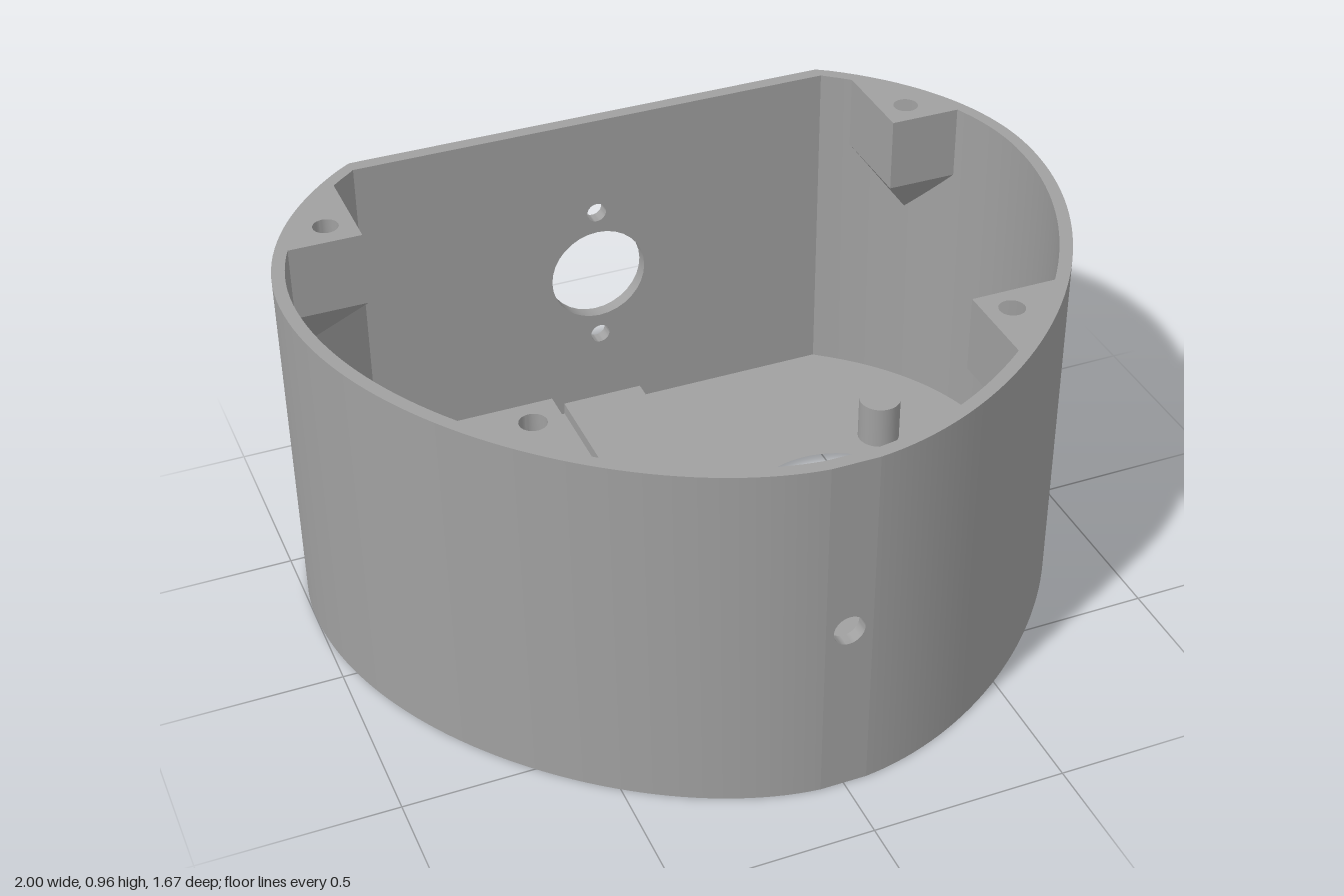
import * as THREE from 'three';
import { toCreasedNormals } from 'three/addons/utils/BufferGeometryUtils.js';
import { ConvexGeometry } from 'three/addons/geometries/ConvexGeometry.js';

const H = 0.957, WALL = 0.033, BACK = -0.84, BACK_IN = -0.803;
const V = (x, y) => new THREE.Vector2(x, y);

// Right half of the outer outline in (x, z), from the flat back to near the front middle
function outerHalf() {
  const pts = [V(0.66, BACK)];
  const a0 = Math.asin(0.749);
  for (let i = 1; i <= 20; i++) {
    const a = a0 * (1 - i / 20);
    pts.push(V(Math.cos(a), -0.25 - 0.788 * Math.sin(a)));
  }
  const front = new THREE.CubicBezierCurve(V(1, -0.25), V(1, 0.3), V(0.45, 0.83), V(0, 0.83));
  for (let i = 1; i <= 48; i++) {
    const p = front.getPoint(i / 48);
    if (p.x > 0.065) pts.push(p);
  }
  pts.push(V(0.06, 0.827));
  return pts;
}

// Inner outline, one wall thickness inside
function innerHalf(outer) {
  const pts = outer.map((p, i) => {
    const a = outer[Math.max(i - 1, 0)], b = outer[Math.min(i + 1, outer.length - 1)];
    const t = b.clone().sub(a).normalize();
    return V(p.x - t.y * WALL, p.y + t.x * WALL);
  }).filter(p => p.y > BACK_IN && p.x > 0.062);
  return [V(0.66, BACK_IN), ...pts, V(0.06, 0.827 - WALL)];
}

const flip = (pts, s) => pts.map(p => V(p.x * s, p.y));

function circle(x, z, r, n = 48) {
  return Array.from({ length: n }, (_, i) => {
    const a = i / n * Math.PI * 2;
    return V(x + r * Math.cos(a), z + r * Math.sin(a));
  });
}

// Extrude an (x, z) plan upward from y0 to y1
function slab(plan, holes, y0, y1) {
  const toShape = pts => pts.map(p => V(p.x, -p.y));
  const shape = new THREE.Shape(toShape(plan));
  holes.forEach(h => shape.holes.push(new THREE.Path(toShape(h))));
  const g = new THREE.ExtrudeGeometry(shape, { depth: y1 - y0, bevelEnabled: false });
  g.rotateX(-Math.PI / 2).translate(0, y0, 0);
  return toCreasedNormals(g, 0.4);
}

// Upright panel with round holes [x, y, r], extruded from z0 to z1
function panel(halfWidth, holes, z0, z1) {
  const shape = new THREE.Shape([V(-halfWidth, 0), V(halfWidth, 0), V(halfWidth, H), V(-halfWidth, H)]);
  holes.forEach(([x, y, r]) => shape.holes.push(new THREE.Path(circle(x, y, r, 32))));
  const g = new THREE.ExtrudeGeometry(shape, { depth: z1 - z0, bevelEnabled: false });
  return toCreasedNormals(g.translate(0, 0, z0), 0.4);
}

const rect = (x0, x1, z0, z1) => [V(x0, z0), V(x1, z0), V(x1, z1), V(x0, z1)];

export function createModel() {
  const model = new THREE.Group();
  const grey = new THREE.MeshStandardMaterial({ color: 0xa0a0a0 });
  grey.name = 'plain grey';
  const add = (name, geometry) => {
    const mesh = new THREE.Mesh(geometry, grey);
    mesh.name = name;
    model.add(mesh);
  };

  const outer = outerHalf(), inner = innerHalf(outer);
  const floorPlan = [...inner, ...flip(inner, -1).reverse()];

  // Flat back with round port and screw holes, and narrow front strip with a small hole
  add('backWall', panel(0.66, [[0, 0.478, 0.135], [0, 0.675, 0.027], [0, 0.281, 0.027]], BACK, BACK_IN));
  add('frontWall', panel(0.06, [[0, 0.478, 0.04]], 0.827 - WALL, 0.827));

  // Shallow curved groove under the floor, with a short foot at each end
  const groove = [];
  const arc = (r, from, to) => {
    for (let i = 0; i <= 24; i++) {
      const a = THREE.MathUtils.degToRad(from + (to - from) * i / 24);
      groove.push(V(r * Math.cos(a), -0.27 - r * Math.sin(a)));
    }
  };
  arc(0.385, 40, 140);
  groove.push(V(-0.36, -0.517), V(-0.36, -0.485));
  arc(0.335, 140, 40);
  groove.push(V(0.36, -0.485), V(0.36, -0.517));

  // Floor in two layers: recesses below, through holes above
  const EX = 0.425, EZ = -0.107;
  const pair = r => [circle(EX, EZ, r, 64), circle(-EX, EZ, r, 64)];
  add('floorUnderside', slab(floorPlan, [...pair(0.352), groove], 0, 0.02));
  add('floor', slab(floorPlan, pair(0.247), 0.02, 0.035));
  add('centreStrap', slab(rect(-0.115, 0.115, BACK_IN, -0.135), [], 0.035, 0.07));

  for (const s of [1, -1]) {
    const side = s > 0 ? 'left' : 'right';
    add(side + 'Wall', slab([...flip(outer, s), ...flip(inner, s).reverse()], [], 0, H));

    // Raised rim around the large hole and its bridge to the middle
    add(side + 'HoleRim', slab(circle(s * EX, EZ, 0.278, 64), [circle(s * EX, EZ, 0.247, 64)], 0.035, 0.05));
    add(side + 'RimBridge', slab(rect(s * 0.105, s * 0.178, -0.24, 0.025), [], 0.035, 0.05));

    // Hollow screw posts
    for (const [x, z] of [[0.665, -0.37], [0.185, 0.155]])
      add(side + 'Post', slab(circle(s * x, z, 0.058, 32), [circle(s * x, z, 0.032, 32)], 0.035, 0.16));

    // Corner lid mounts: drilled block with a tapered support running into the wall
    const mounts = [
      { name: 'BackMount', corner: V(0.727, -0.49), dir: -1, hole: [0.8, -0.565], ends: [V(0.727, -0.757), V(0.925, -0.49)], apex: [0.86, -0.645] },
      { name: 'FrontMount', corner: V(0.53, 0.345), dir: 1, hole: [0.6, 0.415], ends: [V(0.762, 0.345), V(0.53, 0.592)], apex: [0.66, 0.485] },
    ];
    for (const m of mounts) {
      const edge = inner.filter(p => p.x > m.corner.x + 0.01 && (p.y - m.corner.y) * m.dir > 0.01);
      const plan = flip([m.corner, m.ends[0], ...edge, m.ends[1]], s);
      const y = H - 0.2;
      add(side + m.name, slab(plan, [circle(s * m.hole[0], m.hole[1], 0.033, 24)], y, H));
      const cone = plan.map(p => new THREE.Vector3(p.x, y, p.y));
      cone.push(new THREE.Vector3(s * m.apex[0], y - 0.18, m.apex[1]));
      add(side + m.name + 'Support', new ConvexGeometry(cone));
    }
  }
  return model;
}
